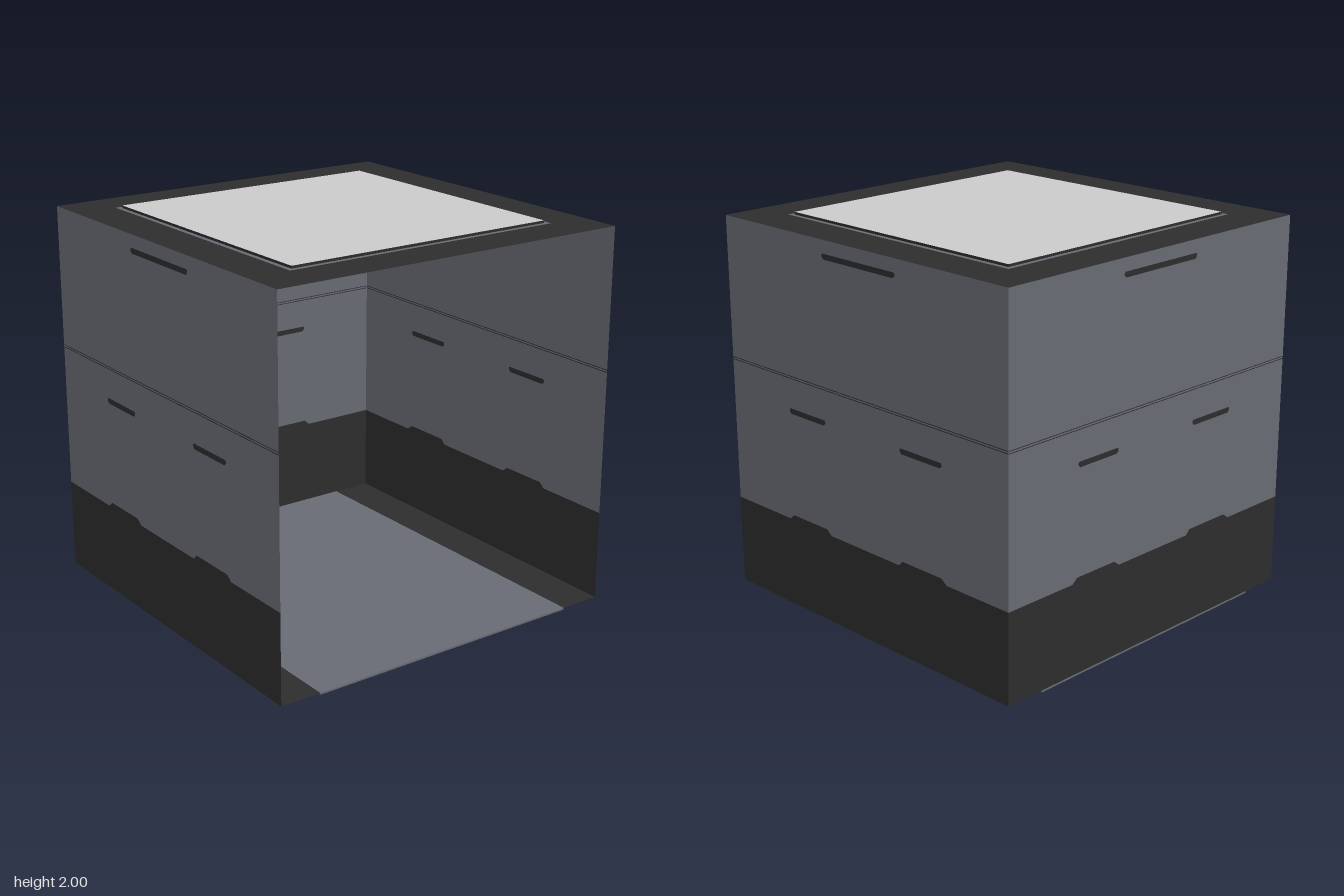
import * as THREE from 'three';

const H = 0.99;            // half width of the shell
const BASE = 0.01, TOP = 1.985;

const make = (name, color) => new THREE.MeshStandardMaterial({ name, color, side: THREE.DoubleSide });

const outline = (pts, Type = THREE.Shape) => new Type(pts.map(([x, y]) => new THREE.Vector2(x, y)));
const rect = (x0, y0, x1, y1) => [[x0, y0], [x1, y0], [x1, y1], [x0, y1]];
// slot with clipped lower or upper corners
const slot = (x0, y0, x1, y1, c) => [[x0 + c, y0], [x1 - c, y0], [x1, y0 + c], [x1, y1 - c / 2], [x1 - c / 2, y1], [x0 + c / 2, y1], [x0, y1 - c / 2], [x0, y0 + c]];

function add(parent, name, geometry, material) {
  const mesh = new THREE.Mesh(geometry, material);
  mesh.name = name;
  parent.add(mesh);
  return mesh;
}

export function createModel() {
  const model = new THREE.Group();
  model.name = 'openBox';
  const grey = make('slate grey', 0x686b73);
  const dark = make('charcoal', 0x2d2d2d);
  const light = make('pale grey', 0xcacaca);

  // dark skirt edge, with two raised tabs, running left to right
  const skirtEdge = [
    [-H, 0.482], [-0.57, 0.482], [-0.54, 0.508], [-0.28, 0.508], [-0.245, 0.482],
    [0.255, 0.482], [0.28, 0.508], [0.55, 0.508], [0.585, 0.482], [H, 0.482],
  ];
  const slots = [
    slot(-0.25, 1.89, 0.265, 1.918, 0.012),
    slot(-0.54, 1.054, -0.265, 1.082, 0.012),
    slot(0.275, 1.054, 0.56, 1.082, 0.012),
  ];
  // thin seam lines across the wall
  const seams = [1.237, 1.249].map((y) => rect(-H + 0.001, y, H - 0.001, y + 0.004));
  const marks = [...slots, ...seams];

  const panel = outline([...skirtEdge, [H, TOP], [-H, TOP]]);
  panel.holes = marks.map((m) => outline(m, THREE.Path));
  const panelGeometry = new THREE.ShapeGeometry(panel);
  const skirtGeometry = new THREE.ShapeGeometry(outline([[-H, BASE], [H, BASE], ...[...skirtEdge].reverse()]));
  const marksGeometry = new THREE.ShapeGeometry(marks.map((m) => outline(m)));

  // three walls; the +x side stays open
  const walls = { frontWall: 0, backWall: Math.PI, rightWall: -Math.PI / 2 };
  for (const [name, angle] of Object.entries(walls)) {
    const wall = new THREE.Group();
    wall.name = name;
    const face = new THREE.Group();
    face.name = name + 'Face';
    face.position.z = H;
    add(face, 'wallPanel', panelGeometry, grey);
    add(face, 'wallSkirt', skirtGeometry, dark);
    add(face, 'wallSlots', marksGeometry, dark);
    wall.add(face);
    wall.rotation.y = angle;
    model.add(wall);
  }

  // square frames lying flat
  const frame = (outer, inner) => {
    const shape = outline(rect(-outer, -outer, outer, outer));
    shape.holes.push(outline(rect(-inner, -inner, inner, inner), THREE.Path));
    return new THREE.ShapeGeometry(shape).rotateX(-Math.PI / 2);
  };
  add(model, 'topFrame', frame(H, 0.748), dark).position.y = TOP;
  add(model, 'topBorder', frame(0.772, 0.748), grey).position.y = TOP + 0.002;

  // raised lid panel with dark edges
  const lid = new THREE.BoxGeometry(1.496, 2 - TOP, 1.496);
  add(model, 'lidPanel', lid, [dark, dark, light, light, dark, dark]).position.y = (2 + TOP) / 2;

  // floor: grey plate between two dark strips
  add(model, 'floorPlate', new THREE.BoxGeometry(2 * H, BASE, 1.54), grey).position.y = BASE / 2;
  for (const side of [-1, 1]) {
    const strip = new THREE.PlaneGeometry(2 * H, H - 0.77).rotateX(-Math.PI / 2);
    add(model, 'floorStrip', strip, dark).position.set(0, BASE, side * (H + 0.77) / 2);
  }
  return model;
}
